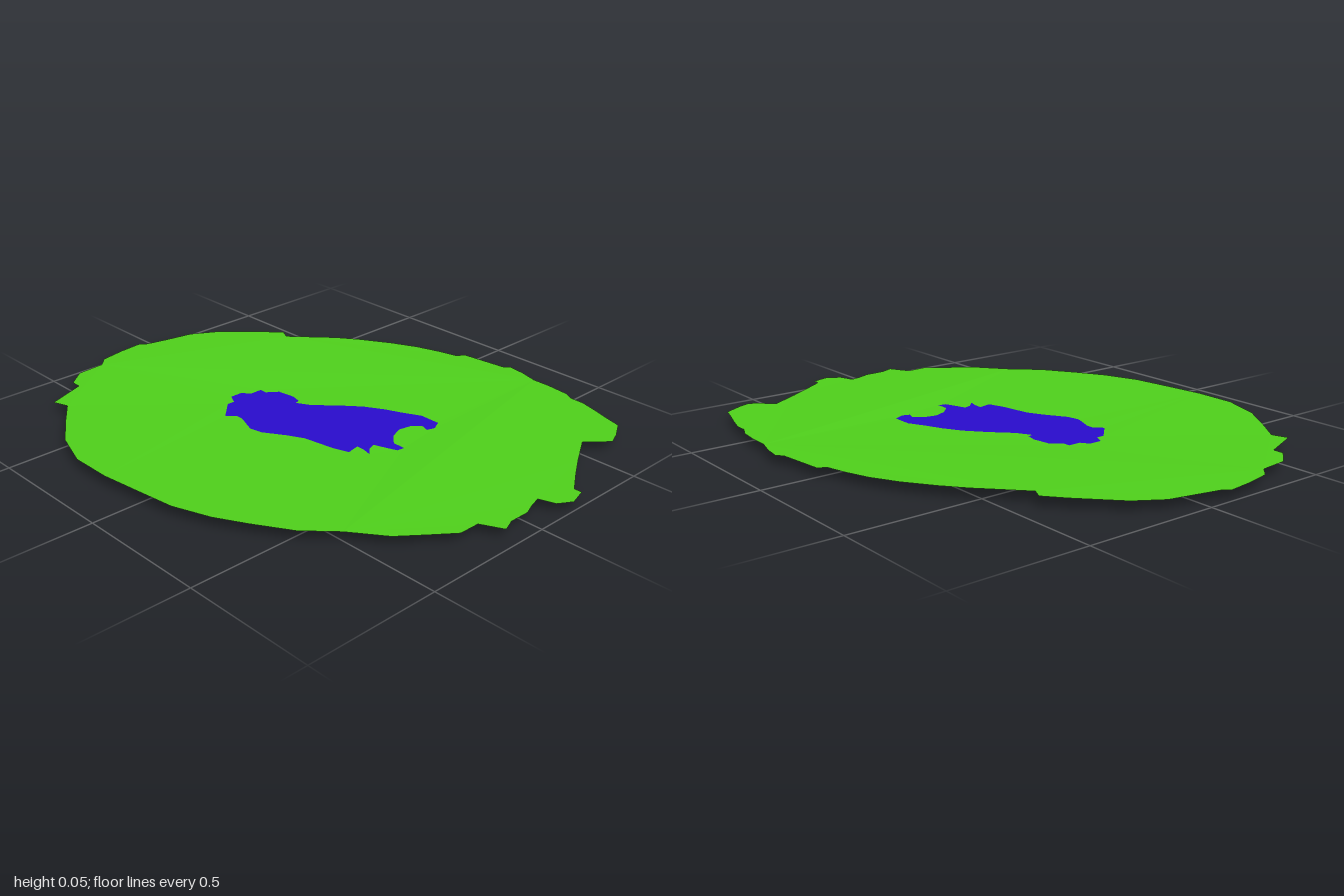
import * as THREE from 'three';

const RIM = 0.033; // height of the water and of the inner edge of the ground

// Outlines as x, z pairs in hundredths of a unit
const SHORE = [
  -13, -36, -8, -36, -6, -33, -1, -33, -1, -30, 3, -27, 4, -20, 3, -16, 1, -15.5, 4, -10,
  11, -3, 17, 4, 21, 11, 24, 18, 27, 24, 27, 32, 23, 34, 20, 33, 21, 30, 18, 27,
  13, 26, 8, 28, 4, 32, 4, 37, 1, 36.5, -1, 31, -2, 28, -5, 29, -8, 32, -7, 28,
  -7, 25, -12, 26, -14, 20, -16, 8, -19, 2, -24, -6, -25, -11, -22, -19, -22, -22, -25, -25,
  -21, -29, -18, -32, -15, -32,
];
const BORDER = [
  -9, -100, -6, -98, 3, -96, 13, -94, 23, -88, 29, -82, 36, -75, 42, -68, 40, -64, 54, -49,
  60, -41, 67, -30, 72, -20, 75, -11, 77, -3, 80, -1, 81, 8, 82, 17, 84, 19, 83, 26,
  81, 33, 81, 40, 80, 49, 78, 53, 78, 58, 76, 65, 74, 71, 72, 78, 65, 82, 60, 84,
  56, 81, 52, 77, 40, 84, 32, 89, 23, 95, 23, 98, 16, 100, 11, 97, 9, 91, 5, 92,
  0, 94, -8, 94, -13, 96, -17, 88, -25, 88, -33, 82, -42, 75, -51, 63, -61, 53, -69, 40,
  -75, 29, -80, 15, -82, 0, -84, -16, -84, -32, -79, -47, -71, -59, -63, -70, -65, -76, -55, -80,
  -50, -82, -50, -86, -43, -92, -32, -93, -28, -97, -18, -99,
];

// Shape plane: x stays, z becomes -y, so a -90 degree turn lays it flat facing up
function toPoints(list) {
  const points = [];
  for (let i = 0; i < list.length; i += 2) {
    points.push(new THREE.Vector2(list[i] / 100, -list[i + 1] / 100));
  }
  return points;
}

function flat(shape, y) {
  return new THREE.ShapeGeometry(shape).rotateX(-Math.PI / 2).translate(0, y, 0);
}

// Ground rises gently from the shore to the border, most on the left-hand rim
function groundGeometry(shore, border) {
  const shape = new THREE.Shape(border);
  shape.holes.push(new THREE.Path(shore));
  const geometry = flat(shape, RIM);
  const pos = geometry.attributes.position;
  for (let i = 0; i < pos.count; i++) {
    const x = pos.getX(i), z = pos.getZ(i);
    const r = Math.hypot(x, z);
    if (r < 0.5) continue;
    const west = Math.max(0, -x / r);
    const northEast = Math.max(0, (0.62 * x - 0.78 * z) / r) ** 8;
    pos.setY(i, 0.036 + 0.009 * west + 0.006 * northEast);
  }
  geometry.computeVertexNormals();
  return geometry;
}

// Upright strip following the shore, faces pointing outward
function bankGeometry(shore) {
  const v = [];
  shore.forEach((a, i) => {
    const b = shore[(i + 1) % shore.length];
    const a0 = [a.x, 0, -a.y], a1 = [a.x, RIM, -a.y];
    const b0 = [b.x, 0, -b.y], b1 = [b.x, RIM, -b.y];
    v.push(...a0, ...a1, ...b0, ...b0, ...a1, ...b1);
  });
  const geometry = new THREE.BufferGeometry();
  geometry.setAttribute('position', new THREE.Float32BufferAttribute(v, 3));
  geometry.computeVertexNormals();
  return geometry;
}

export function createModel() {
  const grass = new THREE.MeshStandardMaterial({ color: 0x4fd01b, flatShading: true, side: THREE.DoubleSide });
  const blue = new THREE.MeshStandardMaterial({ color: 0x2a0ccc });
  const shore = toPoints(SHORE);
  const border = toPoints(BORDER);
  const model = new THREE.Group();
  model.name = 'pond';

  const add = (name, geometry, material) => {
    const mesh = new THREE.Mesh(geometry, material);
    mesh.name = name;
    model.add(mesh);
  };

  add('ground', groundGeometry(shore, border), grass);
  add('water', flat(new THREE.Shape(shore), RIM), blue);
  add('bank', bankGeometry(shore), grass);
  add('pondBed', flat(new THREE.Shape(shore), 0), grass);
  return model;
}
